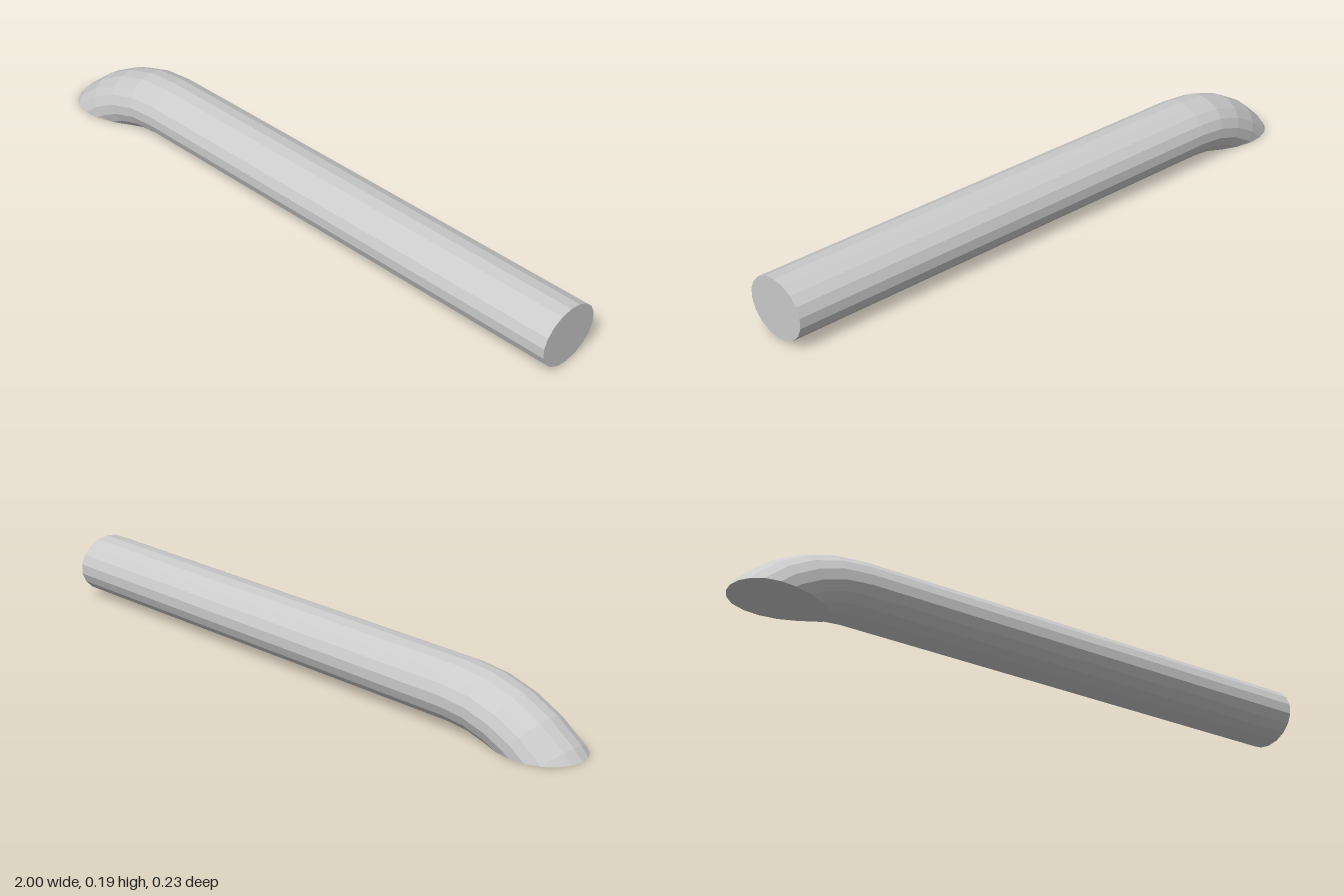
import * as THREE from 'three';

const SIDES = 18, RY = 0.093, RZ = 0.111;   // slightly oval pipe section
const AXIS_Y = 0.1, AXIS_Z = -0.004;
const BEND_X = -0.6, BEND_R = 0.427;        // where the bend starts, and its radius
const STEP = THREE.MathUtils.degToRad(11.5), STEPS = 5;
const LEAN = 0.14;                          // sideways drift as the bend drops

// One lengthwise line of the pipe, bent downward and cut off at the ground
function pipeLine(i) {
  const a = (i / SIDES) * Math.PI * 2;
  const up = RY * Math.cos(a), side = AXIS_Z + RZ * Math.sin(a);
  const line = [new THREE.Vector3(1, AXIS_Y + up, side)];
  for (let k = 0; k <= STEPS; k++) {
    const t = k * STEP, r = BEND_R + up;
    const drop = r * (1 - Math.cos(t));
    const p = new THREE.Vector3(BEND_X - r * Math.sin(t), AXIS_Y + up - drop, side + LEAN * drop);
    const last = line[line.length - 1];
    if (last.y <= 0) line.push(last.clone());
    else if (p.y < 0) {
      p.lerpVectors(last, p, last.y / (last.y - p.y));
      p.y = 0;
      line.push(p);
    } else line.push(p);
  }
  return line;
}

function meshFrom(name, triangles, material) {
  const points = triangles.filter(([a, b, c]) => new THREE.Triangle(a, b, c).getArea() > 1e-9).flat();
  const geometry = new THREE.BufferGeometry().setFromPoints(points);
  geometry.computeVertexNormals();
  const mesh = new THREE.Mesh(geometry, material);
  mesh.name = name;
  return mesh;
}

export function createModel() {
  const group = new THREE.Group();
  group.name = 'bentPipe';
  const material = new THREE.MeshStandardMaterial({ color: 0xcccccc, flatShading: true });
  const lines = Array.from({ length: SIDES }, (_, i) => pipeLine(i));
  const end = lines[0].length - 1;
  const wall = [], endCap = [], groundCut = [];
  const centre = (k) => lines.reduce((s, l) => s.add(l[k]), new THREE.Vector3()).divideScalar(SIDES);
  const endCentre = centre(0), cutCentre = centre(end);

  lines.forEach((l, i) => {
    const n = lines[(i + 1) % SIDES];
    for (let k = 0; k < end; k++) {
      wall.push([l[k], l[k + 1], n[k]], [n[k], l[k + 1], n[k + 1]]);
    }
    endCap.push([endCentre, l[0], n[0]]);
    groundCut.push([cutCentre, n[end], l[end]]);
  });

  group.add(
    meshFrom('pipeWall', wall, material),
    meshFrom('endCap', endCap, material),
    meshFrom('groundCut', groundCut, material),
  );
  return group;
}
